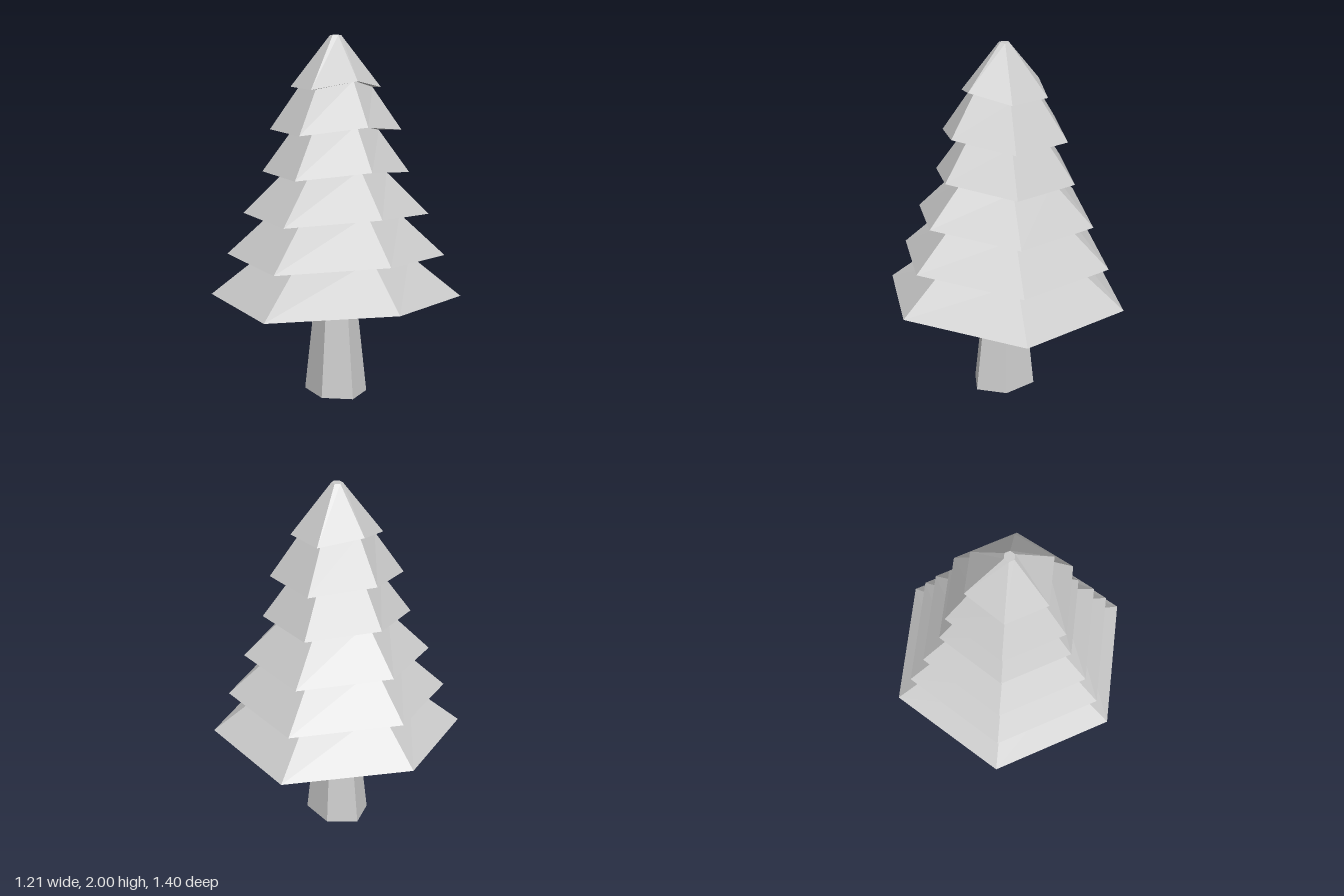
import * as THREE from 'three';

const SIDES = 6;
const material = new THREE.MeshStandardMaterial({ color: 0xcccccc, flatShading: true });

// Point on a hexagonal ring; the corners off the z axis sag by `droop`.
function corner({ r, y, droop = 0 }, i) {
  const k = i % SIDES;
  const a = (k * Math.PI * 2) / SIDES;
  return [r * Math.sin(a), y - (k % 3 === 0 ? 0 : droop), r * Math.cos(a)];
}

// Skins a list of rings, running from the bottom centre outward and up.
function skinRings(rings) {
  const positions = [];
  for (let j = 0; j < rings.length - 1; j++) {
    for (let i = 0; i < SIDES; i++) {
      const a = corner(rings[j], i), b = corner(rings[j], i + 1);
      const c = corner(rings[j + 1], i + 1), d = corner(rings[j + 1], i);
      if (rings[j].r > 0) positions.push(...a, ...b, ...c);
      if (rings[j + 1].r > 0) positions.push(...a, ...c, ...d);
    }
  }
  const geometry = new THREE.BufferGeometry();
  geometry.setAttribute('position', new THREE.Float32BufferAttribute(positions, 3));
  geometry.computeVertexNormals();
  return geometry;
}

export function createModel() {
  const group = new THREE.Group();
  group.name = 'pineTree';

  // Tapered trunk, narrower across x
  const trunkGeometry = new THREE.CylinderGeometry(0.13, 0.204, 0.59, SIDES);
  trunkGeometry.translate(0, 0.295, 0);
  trunkGeometry.scale(0.81, 1, 1);
  const trunk = new THREE.Mesh(trunkGeometry, material);
  trunk.name = 'trunk';
  group.add(trunk);

  // Stepped foliage: each tier flares out, then slopes in to the next
  const base = 0.6, step = 0.2335, droop = 0.047;
  const tiers = [[0.7, 0.41], [0.607, 0.355], [0.514, 0.28], [0.405, 0.236], [0.361, 0.2], [0.246, 0.03]];
  const rings = [{ r: 0, y: base }, { r: 0.38, y: base }];
  tiers.forEach(([outer, inner], k) => {
    const last = k === tiers.length - 1;
    rings.push({ r: outer, y: base + k * step, droop });
    rings.push({ r: inner, y: last ? 2 : base + (k + 1) * step, droop: last ? 0 : droop });
  });
  rings.push({ r: 0, y: 2 });
  const foliage = new THREE.Mesh(skinRings(rings), material);
  foliage.name = 'foliage';
  group.add(foliage);

  return group;
}
